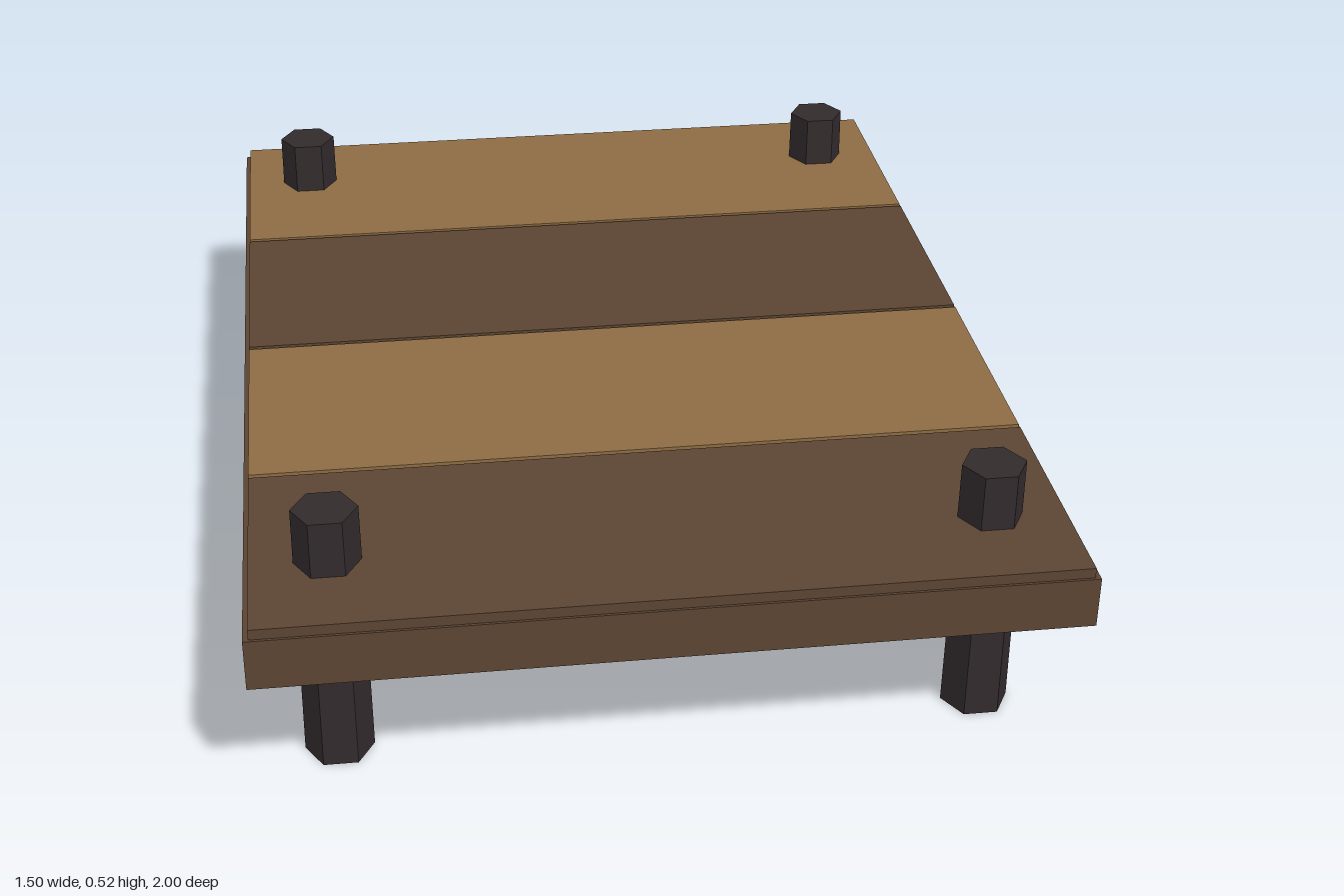
import * as THREE from 'three';

export function createModel() {
  const material = (name, color) => {
    const m = new THREE.MeshStandardMaterial({ color, flatShading: true });
    m.name = name;
    return m;
  };
  const darkWood = material('dark wood', 0x5c4533);
  const lightWood = material('light wood', 0x8e6d44);
  const postWood = material('post wood', 0x332b2d);

  const model = new THREE.Group();
  model.name = 'plankPlatform';
  const add = (name, geometry, mat, x, y, z) => {
    const mesh = new THREE.Mesh(geometry, mat);
    mesh.name = name;
    mesh.position.set(x, y, z);
    model.add(mesh);
  };

  // Solid deck
  add('deck', new THREE.BoxGeometry(1.5, 0.1, 2), darkWood, 0, 0.34, 0);

  // Four planks of alternating colour, with narrow gaps between them
  const plank = new THREE.BoxGeometry(1.48, 0.03, 0.49);
  for (let i = 0; i < 4; i++) {
    add(`plank${i + 1}`, plank, i % 2 ? darkWood : lightWood, 0, 0.395, -0.75 + i * 0.5);
  }

  // Slightly tapered hexagonal posts through the corners
  const post = new THREE.CylinderGeometry(0.06, 0.064, 0.52, 6).rotateY(Math.PI / 6);
  for (const [front, z] of [['front', 0.8], ['back', -0.8]]) {
    for (const [side, x] of [['Left', 0.6], ['Right', -0.6]]) {
      add(`${front}${side}Post`, post, postWood, x, 0.26, z);
    }
  }
  return model;
}
